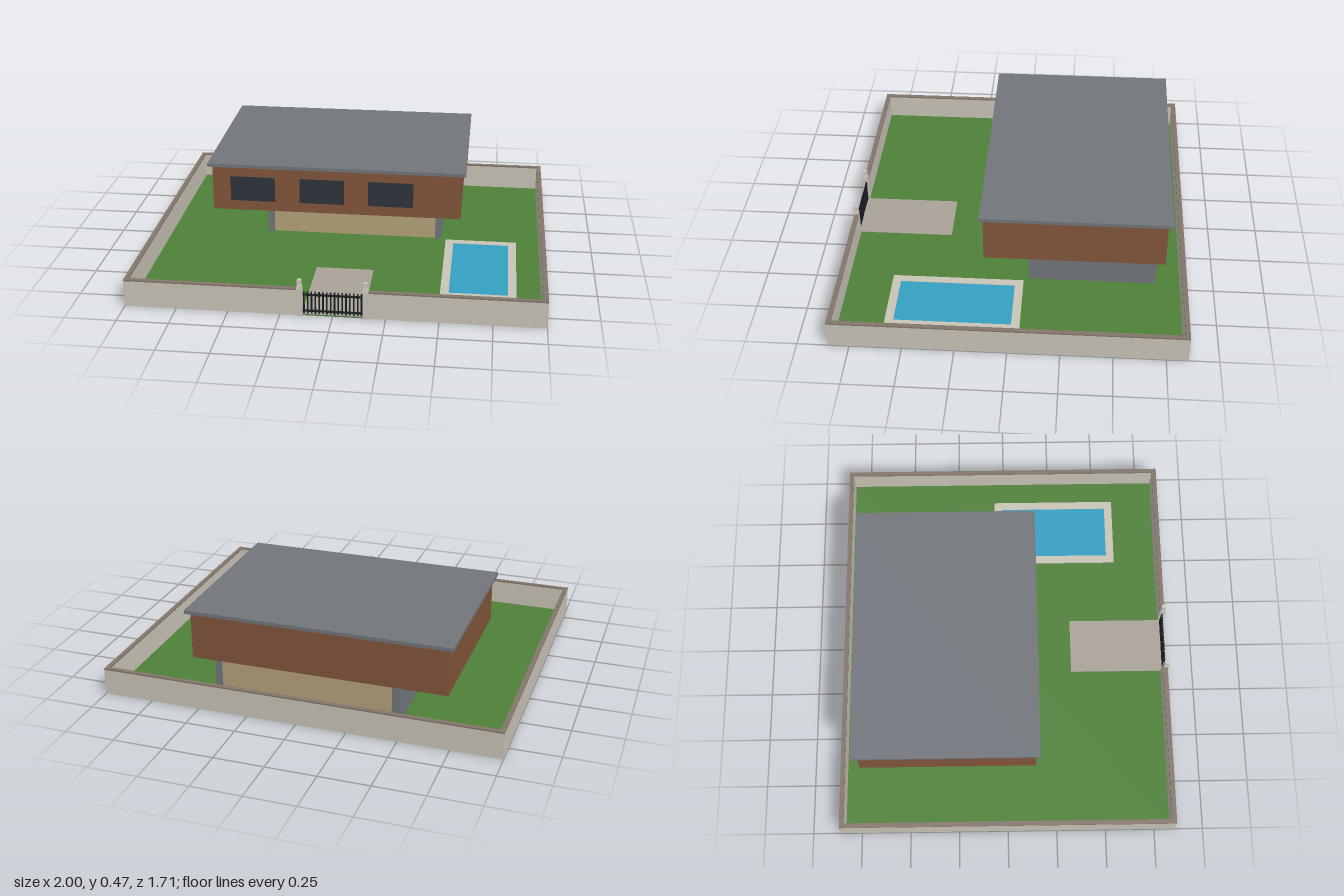
import * as THREE from 'three';

const material = (name, color) => {
  const m = new THREE.MeshStandardMaterial({ color });
  m.name = name;
  return m;
};

export function createModel() {
  const stone = material('pale stone', 0xcac5b8);
  const coping = material('coping brown', 0x83756a);
  const grass = material('grass green', 0x4f8139);
  const paving = material('paving', 0xa9a298);
  const water = material('pool water', 0x35a0c4);
  const timber = material('timber brown', 0x83563b);
  const slate = material('slate grey', 0x72767c);
  const render = material('sand render', 0xb5a27b);
  const glass = material('dark glass', 0x2d353c);
  const iron = material('black iron', 0x1b1d21);

  const model = new THREE.Group();
  model.name = 'villa';

  const group = (name) => {
    const g = new THREE.Group();
    g.name = name;
    model.add(g);
    return g;
  };

  // Box given by its limits on each axis
  const box = (parent, name, mat, [x0, x1], [y0, y1], [z0, z1]) => {
    const mesh = new THREE.Mesh(new THREE.BoxGeometry(x1 - x0, y1 - y0, z1 - z0), mat);
    mesh.position.set((x0 + x1) / 2, (y0 + y1) / 2, (z0 + z1) / 2);
    mesh.name = name;
    parent.add(mesh);
    return mesh;
  };

  // Plot
  const grounds = group('grounds');
  box(grounds, 'lawn', grass, [-0.995, 0.995], [0, 0.006], [-0.852, 0.848]);
  box(grounds, 'driveway', paving, [-0.145, 0.145], [0.003, 0.009], [0.35, 0.848]);

  // Boundary walls, each with a coping strip
  const boundary = group('boundaryWall');
  const T = 0.023;
  const runs = [
    ['backWall', [-1, 1], [-0.855, -0.855 + T]],
    ['leftWall', [1 - T, 1], [-0.855 + T, 0.853 - T]],
    ['rightWall', [-1, -1 + T], [-0.855 + T, 0.853 - T]],
    ['frontWallLeft', [0.15, 1], [0.853 - T, 0.853]],
    ['frontWallRight', [-1, -0.15], [0.853 - T, 0.853]],
  ];
  for (const [name, x, z] of runs) {
    box(boundary, name, stone, x, [0.001, 0.132], z);
    box(boundary, name + 'Coping', coping, x, [0.132, 0.139], z);
  }

  // Gate posts: square shaft, tapered neck and small cap
  for (const side of [-1, 1]) {
    const post = group(side > 0 ? 'leftGatePost' : 'rightGatePost');
    post.position.set(side * 0.156, 0, 0.845);
    box(post, 'shaft', stone, [-0.014, 0.014], [0, 0.14], [-0.014, 0.014]);
    const neck = new THREE.Mesh(
      new THREE.CylinderGeometry(0.009 * Math.SQRT2, 0.014 * Math.SQRT2, 0.026, 4).rotateY(Math.PI / 4).toNonIndexed(), stone);
    neck.geometry.computeVertexNormals();
    neck.position.y = 0.153;
    neck.name = 'neck';
    post.add(neck);
    box(post, 'cap', stone, [-0.01, 0.01], [0.166, 0.185], [-0.01, 0.01]);
  }

  // Gate of vertical bars between two rails
  const gate = group('gate');
  for (const y of [0.022, 0.106]) {
    box(gate, 'rail', iron, [-0.143, 0.143], [y - 0.004, y + 0.004], [0.838, 0.846]);
  }
  const bars = 16;
  for (let i = 0; i < bars; i++) {
    const x = -0.136 + (0.272 * i) / (bars - 1);
    box(gate, 'bar', iron, [x - 0.0035, x + 0.0035], [0.009, 0.122], [0.8385, 0.8455]);
  }

  // Pool with a stone surround
  const pool = group('pool');
  const rim = [0.003, 0.013];
  box(pool, 'frontRim', stone, [0.49, 0.86], rim, [0.565, 0.607]);
  box(pool, 'backRim', stone, [0.49, 0.86], rim, [-0.05, -0.008]);
  box(pool, 'rightRim', stone, [0.49, 0.532], rim, [-0.008, 0.565]);
  box(pool, 'leftRim', stone, [0.818, 0.86], rim, [-0.008, 0.565]);
  box(pool, 'water', water, [0.532, 0.818], [0.003, 0.011], [-0.008, 0.565]);

  // Ground floor: rendered core between two slate end walls
  const house = group('house');
  box(house, 'groundFloor', render, [-0.432, 0.432], [0.003, 0.219], [-0.705, -0.08]);
  for (const side of [-1, 1]) {
    const x = [side * 0.432, side * 0.465].sort((a, b) => a - b);
    box(house, 'endWall', slate, x, [0.003, 0.219], [-0.712, -0.073]);
  }

  // Overhanging upper floor and flat roof
  box(house, 'upperFloor', timber, [-0.71, 0.568], [0.218, 0.456], [-0.746, 0.143]);
  box(house, 'roof', slate, [-0.732, 0.59], [0.456, 0.474], [-0.769, 0.161]);

  // Upper floor windows
  for (const x of [-0.502, -0.144, 0.21]) {
    box(house, 'window', glass, [x - 0.115, x + 0.115], [0.271, 0.402], [0.141, 0.148]);
  }

  return model;
}
